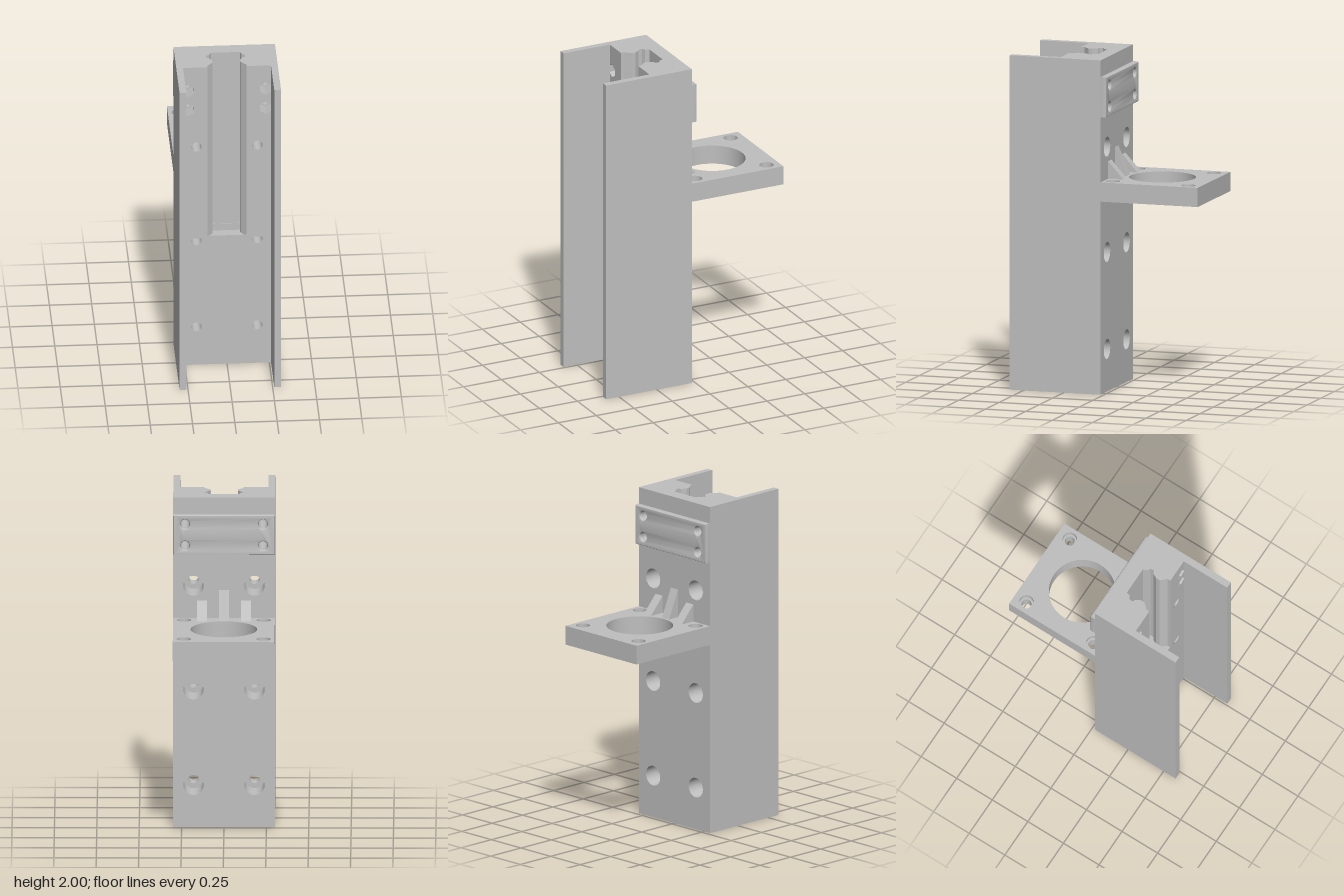
import * as THREE from 'three';
import { toCreasedNormals } from 'three/addons/utils/BufferGeometryUtils.js';

export function createModel() {
  const model = new THREE.Group();
  const gray = new THREE.MeshStandardMaterial({ color: 0xbfbfbf });
  gray.name = 'light gray';

  const add = (name, geometry) => {
    const mesh = new THREE.Mesh(toCreasedNormals(geometry, 0.5), gray);
    mesh.name = name;
    model.add(mesh);
  };
  const polygon = (points) => new THREE.Shape(points.map(([x, y]) => new THREE.Vector2(x, y)));
  const rect = (x0, y0, x1, y1) => polygon([[x0, y0], [x1, y0], [x1, y1], [x0, y1]]);
  const bore = (x, y, r, sides = 36) => {
    const points = [];
    for (let i = 0; i < sides; i++) {
      const a = Math.PI / 2 - (i / sides) * Math.PI * 2;
      points.push(new THREE.Vector2(x + r * Math.cos(a), y + r * Math.sin(a)));
    }
    return new THREE.Path(points);
  };
  // Extrude along z, between two depths
  const slabZ = (shape, z0, z1, bevel = 0) =>
    new THREE.ExtrudeGeometry(shape, {
      depth: z1 - z0 - 2 * bevel, bevelEnabled: bevel > 0,
      bevelSize: bevel, bevelThickness: bevel, bevelOffset: -bevel, bevelSegments: 3,
    }).translate(0, 0, z0 + bevel);
  // Extrude upwards; the shape is drawn in (x, -z)
  const slabY = (shape, y0, y1) =>
    new THREE.ExtrudeGeometry(shape, { depth: y1 - y0, bevelEnabled: false })
      .rotateX(-Math.PI / 2).translate(0, y0, 0);

  const back = 0.02, front = 0.28, slotBottom = 0.85;
  const boltRows = [0.255, 0.835, 1.465], nutRows = [1.715, 1.845];
  const boltX = 0.18, nutX = 0.23;

  // Cut the bolt and nut holes that fall inside a rectangular piece of the web
  const webPiece = (name, x0, y0, x1, y1, z0, z1, boltR, nutR, nutSides) => {
    const shape = rect(x0, y0, x1, y1);
    const cut = (x, y, r, sides) => {
      if (x > x0 && x < x1 && y > y0 && y < y1) shape.holes.push(bore(x, y, r, sides));
    };
    for (const s of [-1, 1]) {
      boltRows.forEach((y) => cut(s * boltX, y, boltR));
      nutRows.forEach((y) => cut(s * nutX, y, nutR, nutSides));
    }
    add(name, slabZ(shape, z0, z1));
  };

  // Web: back plate, then two layers around the slot
  webPiece('webBack', -0.3, 0, 0.3, 2, back, 0.105, 0.06, 0.028, 36);
  for (const [z0, z1, boltR, nutR, sides] of [
    [0.105, 0.19, 0.06, 0.028, 36],
    [0.19, front, 0.03, 0.041, 6],
  ]) {
    webPiece('webLower', -0.3, 0, 0.3, slotBottom, z0, z1, boltR, nutR, sides);
    webPiece('webUpperRight', -0.3, slotBottom, -0.115, 2, z0, z1, boltR, nutR, sides);
    webPiece('webUpperLeft', 0.115, slotBottom, 0.3, 2, z0, z1, boltR, nutR, sides);
  }

  for (const s of [-1, 1]) {
    // Lips shaping the slot
    const lip = (points) => slabY(polygon(points.map(([x, z]) => [s * x, -z])), slotBottom, 2);
    add('slotCorner', lip([[0.087, 0.105], [0.095, 0.13], [0.115, 0.14], [0.115, 0.105]]));
    add('slotLip', lip([[0.115, 0.165], [0.1, 0.17], [0.082, 0.2], [0.082, 0.225], [0.115, 0.26]]));

    // Side walls
    const wall = new THREE.BoxGeometry(0.04, 2, 0.585 - front);
    add('sideWall', wall.translate(s * 0.28, 1, (0.585 + front) / 2));
  }

  // Raised pad on the back
  const pad = rect(-0.3, 1.66, 0.3, 1.9);
  for (const s of [-1, 1]) nutRows.forEach((y) => pad.holes.push(bore(s * nutX, y, 0.028)));
  add('backPad', slabZ(pad, -0.015, back + 0.008, 0.008));

  // Motor flange: lower layer with screw holes, upper layer with counterbores
  for (const [name, y0, y1, r] of [
    ['flangeLower', 1.155, 1.235, 0.029],
    ['flangeUpper', 1.235, 1.27, 0.042],
  ]) {
    const shape = rect(-0.3, -back, 0.3, 0.585);
    shape.holes.push(bore(0, 0.265, 0.197, 72));
    for (const x of [-0.235, 0.235]) for (const z of [0.035, 0.505]) shape.holes.push(bore(x, z, r));
    add(name, slabY(shape, y0, y1));
  }

  // Gusset ribs between flange and web, drawn in (-z, y)
  for (const [x, height, reach] of [[-0.13, 1.375, 0.08], [0, 1.44, 0.055], [0.13, 1.375, 0.08]]) {
    const rib = polygon([[-back, 1.265], [reach, 1.265], [-back, height]]);
    const geometry = new THREE.ExtrudeGeometry(rib, { depth: 0.06, bevelEnabled: false });
    add('gussetRib', geometry.translate(0, 0, -0.03).rotateY(Math.PI / 2).translate(x, 0, 0));
  }
  return model;
}
